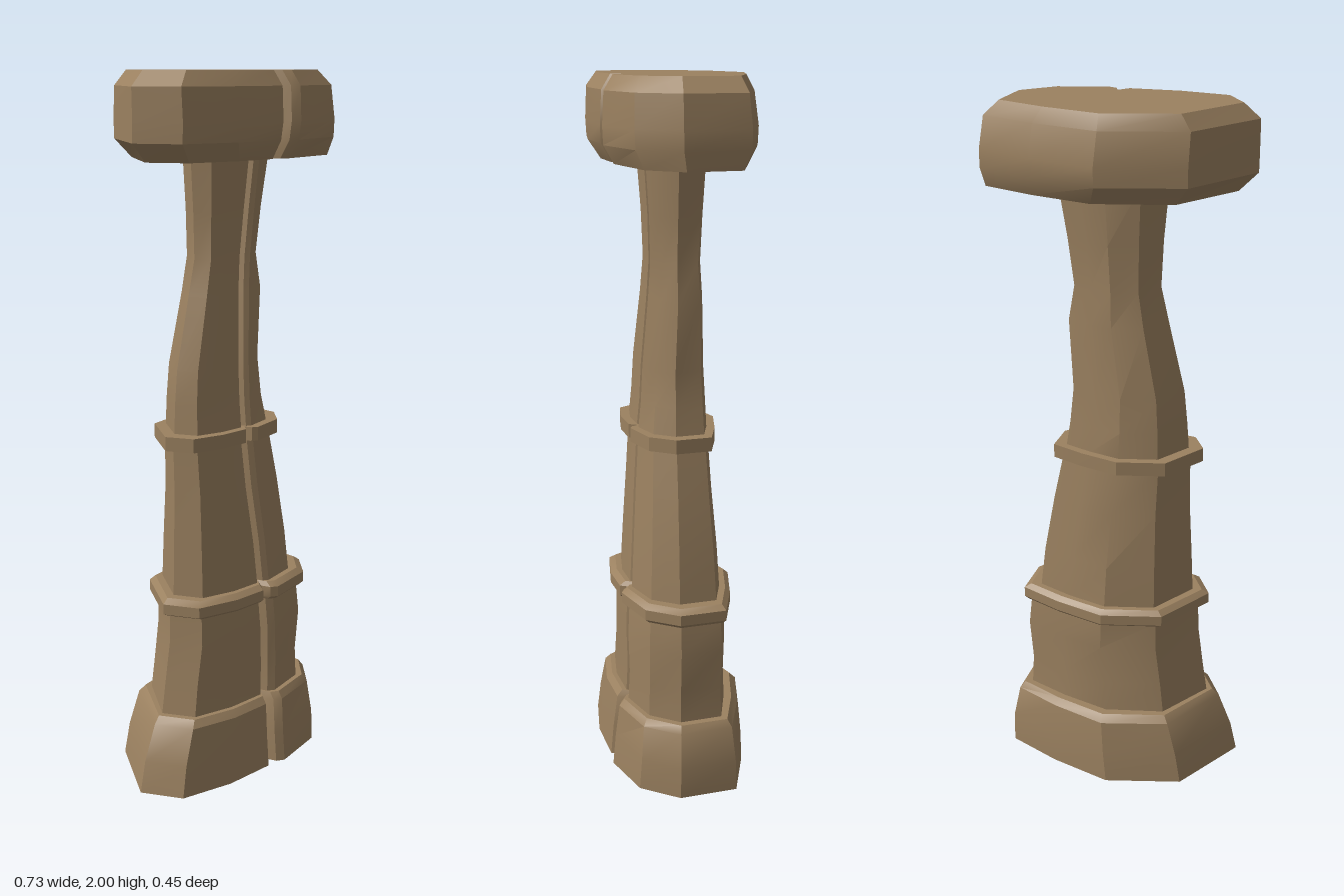
import * as THREE from 'three';
import { toCreasedNormals } from 'three/addons/utils/BufferGeometryUtils.js';

// Outline of the widest cross-section; the null marks where the front groove goes.
const OUTLINE = [
  [-0.36, 0.09], [-0.285, 0.2], [-0.12, 0.225], null, [0.275, 0.172],
  [0.36, 0.065], [0.348, -0.115], [0.18, -0.18], [-0.015, -0.228], [-0.24, -0.153],
];
// Groove offsets: x from its centre, z behind the front face.
const GROOVE = [[-0.02, 0.008], [0.002, 0.044], [0.016, 0.014], [0.04, 0.003]];

// Fit the outline to a section: height, left, right, front, back, groove x, groove size, crack pull.
function ring([y, x0, x1, zf, zb, g, size = 1, pull = 1]) {
  const pts = [];
  for (const p of OUTLINE) {
    if (!p) {
      for (const [dx, dz] of GROOVE) pts.push([g + dx * size, y, zf - dz * size]);
      continue;
    }
    const x = x0 + (p[0] + 0.36) / 0.72 * (x1 - x0);
    const z = p[1] > 0 ? p[1] / 0.225 * zf : p[1] / -0.228 * zb;
    const k = p[0] === 0.275 ? pull : 1;
    pts.push([x * k, y, z * k]);
  }
  return pts;
}

// Closed solid lofted through the sections.
function loft(sections) {
  const rings = sections.map(ring);
  const n = rings[0].length;
  const index = [];
  for (let r = 0; r < rings.length - 1; r++) {
    for (let i = 0; i < n; i++) {
      const a = r * n + i, b = r * n + (i + 1) % n;
      index.push(a, b, b + n, a, b + n, a + n);
    }
  }
  const top = (rings.length - 1) * n;
  const flat = (pts) => pts.map(([x, , z]) => new THREE.Vector2(x, -z));
  for (const [a, b, c] of THREE.ShapeUtils.triangulateShape(flat(rings[0]), [])) index.push(a, c, b);
  for (const [a, b, c] of THREE.ShapeUtils.triangulateShape(flat(rings.at(-1)), [])) index.push(top + a, top + b, top + c);
  const geo = new THREE.BufferGeometry();
  geo.setAttribute('position', new THREE.Float32BufferAttribute(rings.flat(2), 3));
  geo.setIndex(index);
  return toCreasedNormals(geo, 0.5);
}

export function createModel() {
  const group = new THREE.Group();
  const stone = new THREE.MeshStandardMaterial({ color: 0x9b8160 });
  stone.name = 'brown stone';

  const parts = {
    base: [
      [0, -0.365, 0.32, 0.215, -0.21, 0.04],
      [0.09, -0.345, 0.32, 0.207, -0.205, 0.04],
      [0.19, -0.305, 0.3, 0.195, -0.19, 0.045],
      [0.21, -0.285, 0.285, 0.18, -0.17, 0.045],
    ],
    lowerShaft: [
      [0.2, -0.27, 0.265, 0.167, -0.145, 0.045, 0.9],
      [0.3, -0.255, 0.26, 0.163, -0.14, 0.05, 0.9],
      [0.42, -0.238, 0.27, 0.165, -0.14, 0.045, 0.9],
      [0.51, -0.235, 0.26, 0.16, -0.14, 0.04, 0.9],
    ],
    lowerBand: [
      [0.505, -0.245, 0.27, 0.17, -0.148, 0.04, 0.9],
      [0.515, -0.265, 0.28, 0.182, -0.16, 0.04, 0.9],
      [0.545, -0.265, 0.28, 0.182, -0.16, 0.04, 0.9],
      [0.558, -0.245, 0.26, 0.165, -0.145, 0.04, 0.9],
    ],
    middleShaft: [
      [0.55, -0.218, 0.23, 0.15, -0.128, 0.04, 0.7],
      [0.68, -0.213, 0.215, 0.142, -0.12, 0.03, 0.7],
      [0.85, -0.205, 0.185, 0.13, -0.105, 0.01, 0.7],
      [0.99, -0.205, 0.155, 0.12, -0.098, 0, 0.7],
    ],
    upperBand: [
      [0.985, -0.24, 0.18, 0.142, -0.12, 0, 0.7],
      [1.025, -0.24, 0.18, 0.142, -0.12, 0, 0.7],
    ],
    upperShaft: [
      [1.02, -0.2, 0.145, 0.118, -0.095, 0, 0.6],
      [1.1, -0.195, 0.132, 0.11, -0.092, 0, 0.6, 0.97],
      [1.2, -0.185, 0.122, 0.105, -0.086, 0, 0.6, 0.93],
      [1.4, -0.138, 0.135, 0.09, -0.074, 0.012, 0.6, 0.92],
      [1.5, -0.115, 0.118, 0.085, -0.068, 0.02, 0.6, 0.93],
      [1.63, -0.12, 0.135, 0.09, -0.072, 0.03, 0.6, 0.92],
      [1.79, -0.133, 0.162, 0.102, -0.08, 0.04, 0.6, 0.93],
    ],
    cap: [
      [1.77, -0.312, 0.352, 0.192, -0.19, 0.05, 0.9],
      [1.82, -0.362, 0.36, 0.222, -0.225, 0.055],
      [1.87, -0.362, 0.36, 0.225, -0.228, 0.06],
      [1.96, -0.362, 0.347, 0.22, -0.215, 0.06],
      [2, -0.318, 0.303, 0.194, -0.195, 0.052],
    ],
  };
  for (const [name, sections] of Object.entries(parts)) {
    const mesh = new THREE.Mesh(loft(sections), stone);
    mesh.name = name;
    group.add(mesh);
  }
  return group;
}
